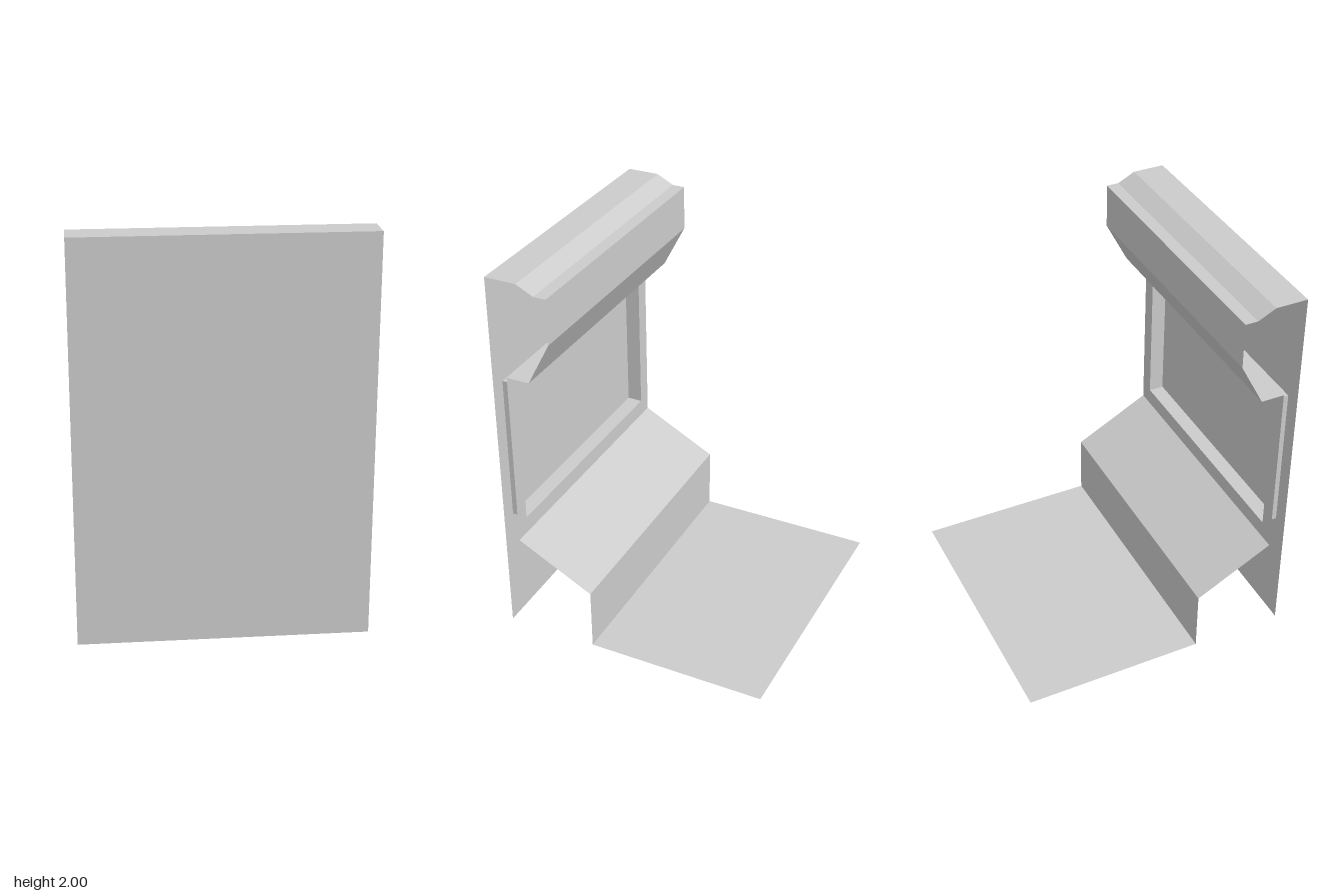
import * as THREE from 'three';

const HALF = 0.71; // half of the cabinet width
const material = new THREE.MeshStandardMaterial({
  color: 0xcccccc, flatShading: true, side: THREE.DoubleSide,
});

// Thin sheet swept across x from a profile of [z, y] points
function sheet(name, profile, half = HALF) {
  const positions = [];
  for (let i = 0; i < profile.length - 1; i++) {
    const [z0, y0] = profile[i];
    const [z1, y1] = profile[i + 1];
    const a = [-half, y0, z0], b = [half, y0, z0];
    const c = [half, y1, z1], d = [-half, y1, z1];
    positions.push(...a, ...b, ...c, ...a, ...c, ...d);
  }
  const geometry = new THREE.BufferGeometry();
  geometry.setAttribute('position', new THREE.Float32BufferAttribute(positions, 3));
  geometry.computeVertexNormals();
  const mesh = new THREE.Mesh(geometry, material);
  mesh.name = name;
  return mesh;
}

function rectangle(PathType, half, y0, y1) {
  return new PathType([
    new THREE.Vector2(-half, y0), new THREE.Vector2(half, y0),
    new THREE.Vector2(half, y1), new THREE.Vector2(-half, y1),
  ]);
}

export function createModel() {
  const model = new THREE.Group();
  model.name = 'cabinetShell';

  const wall = 0.71, bezel = 0.63;      // z of the outer panel and of the screen frame
  const hole = { half: 0.63, y0: 0.63, y1: 1.41 };

  // Tall outer panel, also the back of the screen recess
  model.add(sheet('outerPanel', [[wall, 0], [wall, 2]]));

  // Overhanging hood from the top edge round to the screen frame
  model.add(sheet('hood', [
    [wall, 2], [0.545, 2], [0.455, 1.955], [0.39, 1.955],
    [0.39, 1.72], [0.51, 1.49], [bezel, 1.49],
  ]));

  // Screen frame with its rectangular opening
  const frameShape = rectangle(THREE.Shape, HALF, 0.54, 1.49);
  frameShape.holes.push(rectangle(THREE.Path, hole.half, hole.y0, hole.y1));
  const frame = new THREE.Mesh(new THREE.ShapeGeometry(frameShape), material);
  frame.name = 'screenFrame';
  frame.position.z = bezel;
  model.add(frame);

  // Walls of the recess
  model.add(sheet('recessTop', [[bezel, hole.y1], [wall, hole.y1]], hole.half));
  model.add(sheet('recessBottom', [[bezel, hole.y0], [wall, hole.y0]], hole.half));
  for (const side of [-1, 1]) {
    const recessSide = new THREE.Mesh(
      new THREE.PlaneGeometry(wall - bezel, hole.y1 - hole.y0), material);
    recessSide.name = side > 0 ? 'recessSideLeft' : 'recessSideRight';
    recessSide.rotation.y = -side * Math.PI / 2;
    recessSide.position.set(side * hole.half, (hole.y0 + hole.y1) / 2, (wall + bezel) / 2);
    model.add(recessSide);
  }

  // Sloping control panel, riser below it and floor sheet
  model.add(sheet('controlPanel', [[bezel, 0.54], [0.23, 0.33]]));
  model.add(sheet('riser', [[0.23, 0.33], [0.23, 0]]));
  model.add(sheet('floor', [[0.23, 0], [-0.71, 0]]));

  return model;
}
